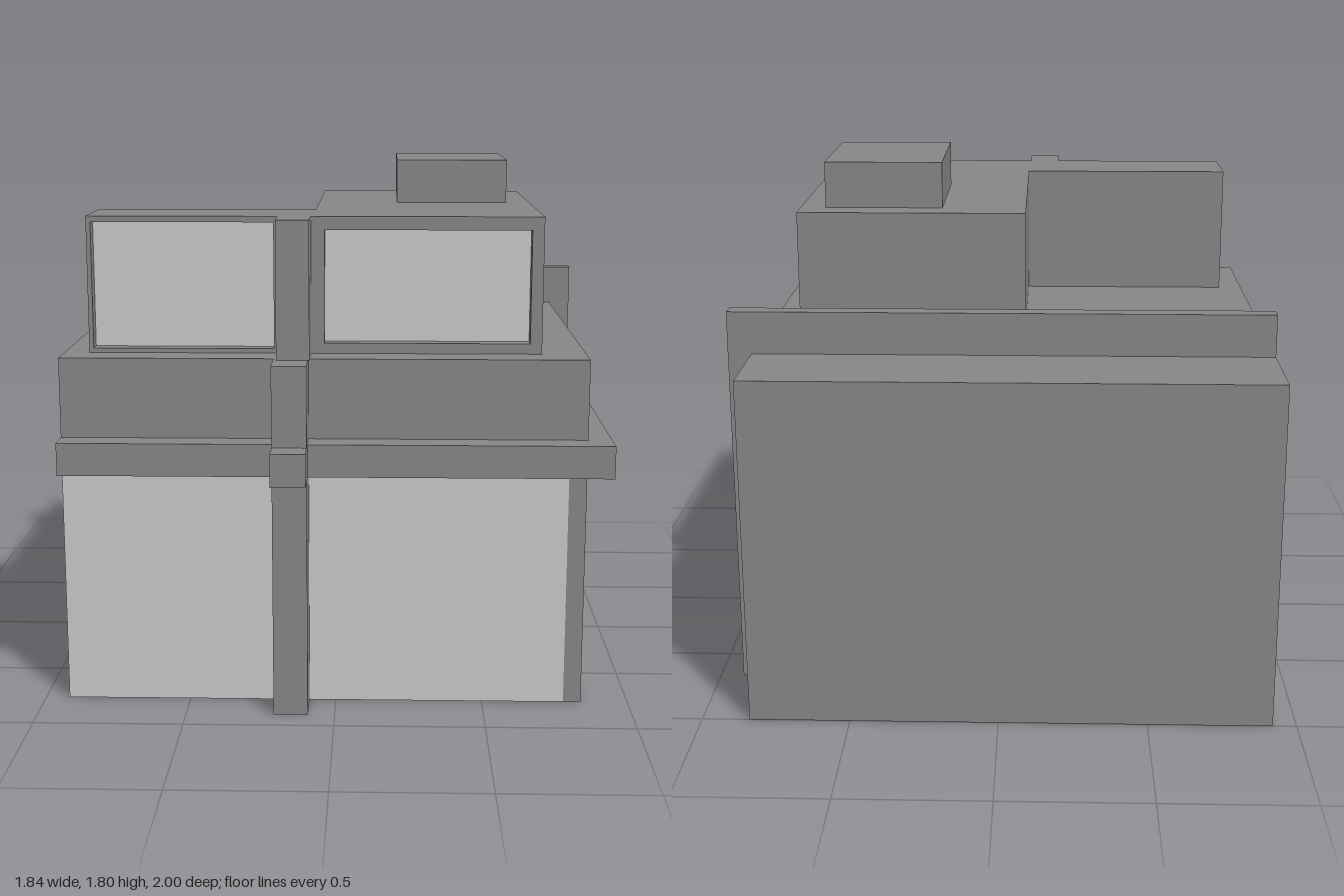
import * as THREE from 'three';

const wall = new THREE.MeshStandardMaterial({ color: 0x888888, flatShading: true });
const glass = new THREE.MeshStandardMaterial({ color: 0xcccccc, flatShading: true });

export function createModel() {
  const model = new THREE.Group();
  model.name = 'house';

  const add = (name, geometry, material = wall) => {
    const mesh = new THREE.Mesh(geometry, material);
    mesh.name = name;
    model.add(mesh);
    return mesh;
  };

  // Box given by its limits on each axis
  const block = (name, [x0, x1], [y0, y1], [z0, z1]) =>
    add(name, new THREE.BoxGeometry(x1 - x0, y1 - y0, z1 - z0))
      .position.set((x0 + x1) / 2, (y0 + y1) / 2, (z0 + z1) / 2);

  // Glass sheets facing the front (+z) or the side (+x), just proud of the wall behind
  const gap = 0.002;
  const frontPane = (name, [x0, x1], [y0, y1], z) =>
    add(name, new THREE.PlaneGeometry(x1 - x0, y1 - y0), glass)
      .position.set((x0 + x1) / 2, (y0 + y1) / 2, z + gap);
  const sidePane = (name, [z0, z1], [y0, y1], x) =>
    add(name, new THREE.PlaneGeometry(z1 - z0, y1 - y0).rotateY(Math.PI / 2), glass)
      .position.set(x + gap, (y0 + y1) / 2, (z0 + z1) / 2);

  // Wall panel with rectangular window openings
  const trace = (path, [u0, u1], [v0, v1]) =>
    path.moveTo(u0, v0).lineTo(u1, v0).lineTo(u1, v1).lineTo(u0, v1).closePath();
  const panel = (u, v, openings, depth) => {
    const shape = trace(new THREE.Shape(), u, v);
    for (const [ou, ov] of openings) shape.holes.push(trace(new THREE.Path(), ou, ov));
    return new THREE.ExtrudeGeometry(shape, { depth, bevelEnabled: false });
  };

  // Main body with ground floor glazing
  block('mainBody', [-0.92, 0.84], [0, 1.19], [-1, 0.77]);
  const ground = [0, 0.81];
  for (const x of [[-0.92, -0.2], [-0.09, 0.78]]) frontPane('groundFrontGlass', x, ground, 0.77);
  for (const z of [[0.35, 0.7], [-0.61, 0.26], [-1, -0.67]]) sidePane('groundSideGlass', z, ground, 0.84);

  // Ledge wrapping the front and one side
  block('frontLedge', [-0.92, 0.92], [0.81, 0.92], [0.77, 0.86]);
  block('sideLedge', [0.84, 0.92], [0.81, 0.92], [-0.61, 0.77]);

  // Fin wall crossing the roof and running down the side
  block('roofFin', [-0.92, 0.92], [1.19, 1.335], [-0.67, -0.61]);
  block('sideFin', [0.84, 0.92], [0, 1.19], [-0.67, -0.61]);

  // Front pillar with beam end
  block('frontPillar', [-0.205, -0.09], [0, 1.19], [0.77, 0.91]);
  block('upperPillar', [-0.195, -0.085], [1.19, 1.65], [0.66, 0.8]);
  block('beamEnd', [-0.205, -0.09], [0.81, 0.92], [0.91, 1]);

  // L-shaped upper storey
  const upper = [1.19, 1.65];
  block('upperRoom', [-0.08, 0.66], upper, [-0.55, 0.61]);
  block('upperWing', [-0.835, -0.08], upper, [0.38, 0.61]);

  const frontWindows = [[[-0.82, -0.21], [1.205, 1.63]], [[-0.04, 0.65], [1.225, 1.605]]];
  add('upperFrontWall', panel([-0.835, 0.66], upper, frontWindows, 0.05)).position.z = 0.61;
  for (const [x, y] of frontWindows) frontPane('upperFrontGlass', x, y, 0.61);

  const sideWindows = [[[0.42, 0.63], [1.22, 1.615]], [[-0.515, 0.36], [1.22, 1.615]]];
  const flip = ([z0, z1]) => [-z1, -z0];
  const sideOpenings = sideWindows.map(([z, y]) => [flip(z), y]);
  add('upperSideWall', panel(flip([-0.55, 0.66]), upper, sideOpenings, 0.03).rotateY(Math.PI / 2)).position.x = 0.66;
  for (const [z, y] of sideWindows) sidePane('upperSideGlass', z, y, 0.66);

  // Roof box
  block('roofBox', [0.205, 0.605], [1.65, 1.805], [-0.45, 0.055]);

  return model;
}
